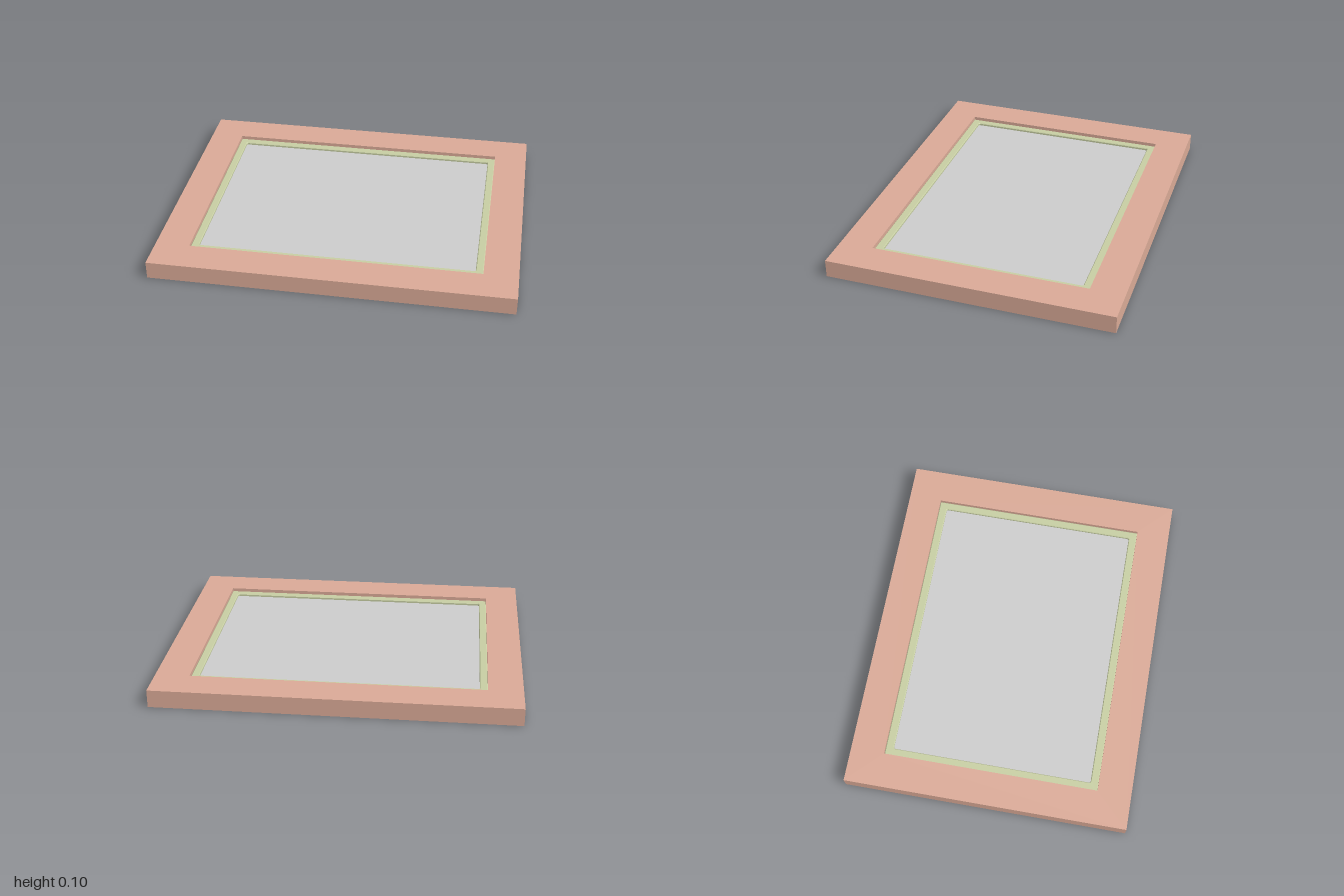
import * as THREE from 'three';

// Rectangle outline centred on the origin, with optional rounded corners
function rect(target, w, h, r = 0) {
  const x = w / 2, y = h / 2;
  target.moveTo(-x + r, -y).lineTo(x - r, -y);
  if (r) target.absarc(x - r, -y + r, r, -Math.PI / 2, 0);
  target.lineTo(x, y - r);
  if (r) target.absarc(x - r, y - r, r, 0, Math.PI / 2);
  target.lineTo(-x + r, y);
  if (r) target.absarc(-x + r, y - r, r, Math.PI / 2, Math.PI);
  target.lineTo(-x, -y + r);
  if (r) target.absarc(-x + r, -y + r, r, Math.PI, Math.PI * 1.5);
  return target;
}

// Flat ring lying in the xz plane between heights y0 and y1
function ring(name, outer, inner, radius, y0, y1, color, bevel = 0) {
  const shape = rect(new THREE.Shape(), outer[0] - 2 * bevel, outer[1] - 2 * bevel);
  shape.holes.push(rect(new THREE.Path(), inner[0] + 2 * bevel, inner[1] + 2 * bevel, radius));
  const geometry = new THREE.ExtrudeGeometry(shape, {
    depth: y1 - y0 - 2 * bevel, curveSegments: 6,
    bevelEnabled: bevel > 0, bevelSize: bevel, bevelThickness: bevel, bevelSegments: 1,
  });
  geometry.rotateX(-Math.PI / 2).translate(0, y0 + bevel, 0);
  const mesh = new THREE.Mesh(geometry, new THREE.MeshStandardMaterial({ color }));
  mesh.name = name;
  return mesh;
}

export function createModel() {
  const group = new THREE.Group();
  group.name = 'pictureFrame';

  // Wide outer frame
  group.add(ring('frame', [2, 1.6], [1.62, 1.22], 0, 0, 0.1, 0xd9a996));

  // Narrow mat set below the frame's face, with rounded inner corners
  group.add(ring('mat', [1.62, 1.22], [1.535, 1.13], 0.015, 0.06, 0.082, 0xc6cda2, 0.004));

  // Panel filling the opening, recessed on both sides
  const panel = new THREE.Mesh(
    new THREE.BoxGeometry(1.62, 0.048, 1.22),
    new THREE.MeshStandardMaterial({ color: 0xc1c5c4 })
  );
  panel.name = 'panel';
  panel.position.y = 0.044;
  group.add(panel);

  return group;
}
